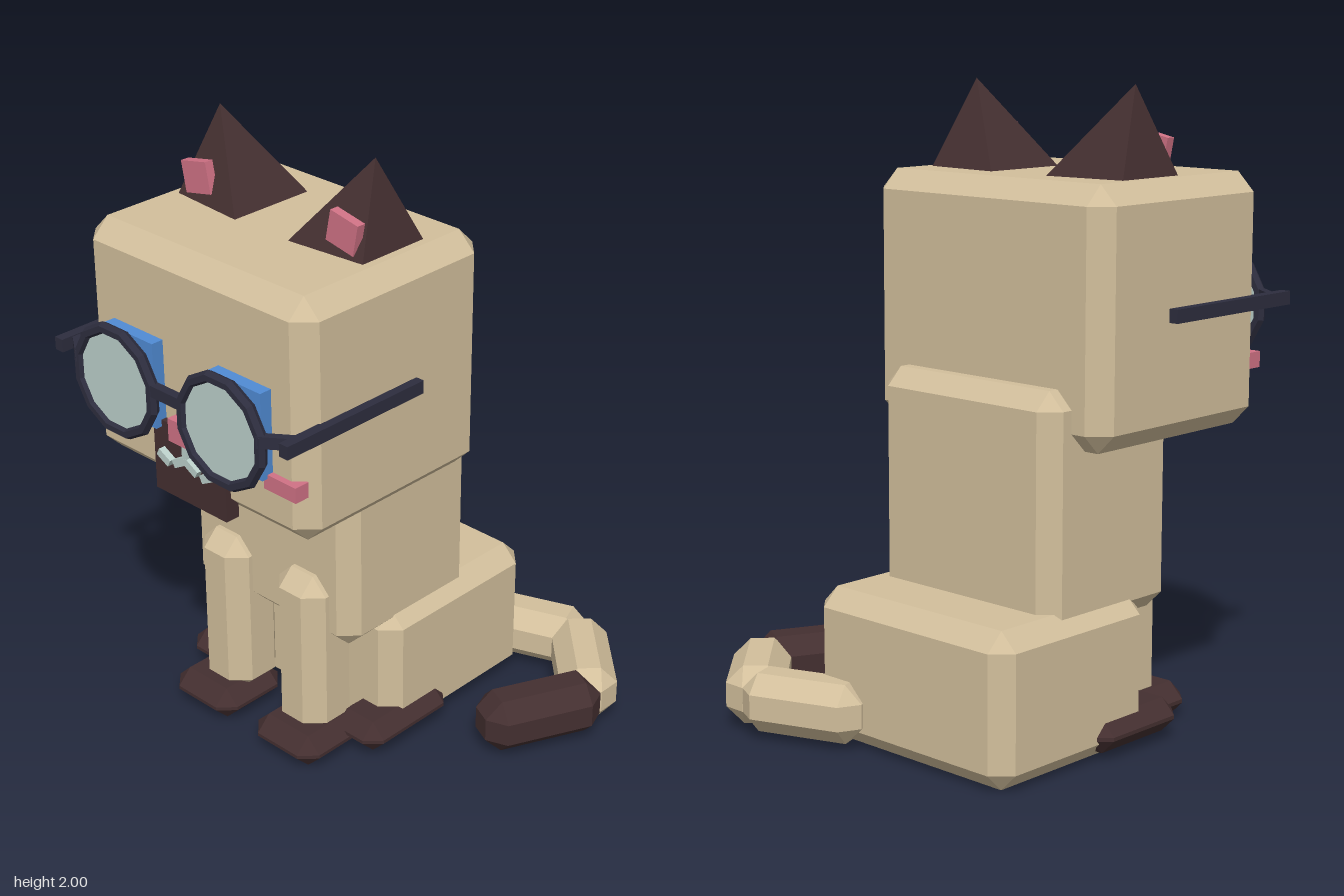
import * as THREE from 'three';
import { ConvexGeometry } from 'three/addons/geometries/ConvexGeometry.js';

const mat = (name, color) => {
  const m = new THREE.MeshStandardMaterial({ color });
  m.name = name;
  return m;
};

// Box with every edge and corner cut off, centred on the origin
function chamferBox(w, h, d, b) {
  const half = [w / 2, h / 2, d / 2];
  const points = [];
  for (const sx of [-1, 1]) for (const sy of [-1, 1]) for (const sz of [-1, 1])
    for (let full = 0; full < 3; full++) {
      const c = half.map((v, i) => (i === full ? v : v - b));
      points.push(new THREE.Vector3(sx * c[0], sy * c[1], sz * c[2]));
    }
  return new ConvexGeometry(points);
}

export function createModel() {
  const model = new THREE.Group();
  model.name = 'sittingCat';
  const cream = mat('cream fur', 0xd2bf9c);
  const brown = mat('dark brown fur', 0x442f30);
  const pink = mat('pink', 0xd07285);
  const blue = mat('eye blue', 0x508bd4);
  const pale = mat('pale green', 0xbbd0ca);
  const navy = mat('frame navy', 0x2d2d3e);
  const CX = -0.183; // mirror plane of the body

  const add = (name, geo, material, x = 0, y = 0, z = 0) => {
    const mesh = new THREE.Mesh(geo, material);
    mesh.name = name;
    mesh.position.set(x, y, z);
    model.add(mesh);
    return mesh;
  };
  const mid = (a, b) => (a + b) / 2;
  // Boxes given by their extents
  const soft = (name, material, x0, x1, y0, y1, z0, z1, b) =>
    add(name, chamferBox(x1 - x0, y1 - y0, z1 - z0, b), material, mid(x0, x1), mid(y0, y1), mid(z0, z1));
  const box = (name, material, x0, x1, y0, y1, z0, z1) =>
    add(name, new THREE.BoxGeometry(x1 - x0, y1 - y0, z1 - z0), material, mid(x0, x1), mid(y0, y1), mid(z0, z1));

  // Head, torso and rump
  soft('head', cream, -0.655, 0.29, 0.95, 1.73, -0.18, 0.58, 0.06);
  soft('torso', cream, -0.545, 0.177, 0.4, 1.135, -0.27, 0.297, 0.055);
  soft('rump', cream, -0.585, 0.217, 0, 0.478, -0.512, 0.15, 0.057);

  // Tail: three jointed pieces lying on the ground, [x, z, turn, length]
  const tail = [
    [0.193, -0.557, Math.atan2(0.35, 0.936), 0.41, cream, 'tailBase'],
    [0.485, -0.498, -Math.PI / 4, 0.4, cream, 'tailMiddle'],
    [0.534, -0.207, -Math.atan2(0.904, -0.427), 0.405, brown, 'tailTip'],
  ];
  for (const [x, z, turn, length, material, name] of tail)
    add(name, chamferBox(length, 0.187, 0.187, 0.055), material, x, 0.114, z).rotation.y = turn;

  for (const s of [-1, 1]) {
    const side = s > 0 ? 'left' : 'right';
    const X = (d) => CX + s * d; // distance out from the mirror plane
    const pair = (f, name, material, a, b, ...rest) =>
      f(side + name, material, Math.min(X(a), X(b)), Math.max(X(a), X(b)), ...rest);

    // Legs and paws
    pair(soft, 'FrontLeg', cream, 0.07, 0.274, 0.06, 0.642, 0.155, 0.367, 0.055);
    pair(soft, 'FrontPaw', brown, 0.05, 0.327, 0, 0.112, 0.17, 0.452, 0.05);
    pair(soft, 'HindPaw', brown, 0.23, 0.438, 0.02, 0.128, -0.11, 0.27, 0.048);

    // Ear: leaning four-sided pyramid
    add(side + 'Ear', new ConvexGeometry([
      new THREE.Vector3(X(0.108), 1.725, -0.02), new THREE.Vector3(X(0.388), 1.725, 0.005),
      new THREE.Vector3(X(0.388), 1.725, 0.262), new THREE.Vector3(X(0.108), 1.725, 0.288),
      new THREE.Vector3(X(0.321), 2, 0.138),
    ]), brown);
    add(side + 'InnerEar', new THREE.BoxGeometry(0.11, 0.1, 0.03), pink, X(0.305), 1.803, 0.246)
      .rotation.z = -s * 0.2;

    // Eye, pupil and highlight
    const ex = X(0.228);
    box(side + 'Eye', blue, ex - 0.108, ex + 0.108, 1.157, 1.438, 0.57, 0.622);
    box(side + 'Pupil', navy, ex - 0.06, ex + 0.065, 1.19, 1.39, 0.62, 0.631);
    box(side + 'EyeHighlight', pale, ex - 0.08, ex - 0.018, 1.34, 1.41, 0.62, 0.646);
    pair(box, 'Cheek', pink, 0.321, 0.45, 1.12, 1.17, 0.55, 0.602);

    // Spectacles: rim, lens, hinge and temple
    const rim = new THREE.TorusGeometry(0.167, 0.019, 6, 12).rotateZ(Math.PI / 12).toNonIndexed();
    rim.computeVertexNormals();
    add(side + 'Rim', rim, navy, ex, 1.3, 0.675);
    add(side + 'Lens', new THREE.CylinderGeometry(0.166, 0.166, 0.008, 12)
      .rotateX(Math.PI / 2).rotateZ(Math.PI / 12).toNonIndexed(), pale, ex, 1.3, 0.675);
    add(side + 'Hinge', new THREE.BoxGeometry(0.12, 0.038, 0.025), navy, X(0.432), 1.333, 0.65)
      .rotation.y = s * 0.62;
    pair(box, 'Temple', navy, 0.468, 0.502, 1.313, 1.355, 0.125, 0.68);

    // Smile: two short strokes per side
    for (const [x0, y0, x1, y1] of [[0, 1.092, 0.05, 1.064], [0.07, 1.057, 0.118, 1.082]]) {
      const stroke = new THREE.BoxGeometry(Math.hypot(x1 - x0, y1 - y0), 0.026, 0.025);
      add(side + 'SmileStroke', stroke, pale, X(mid(x0, x1)), mid(y0, y1), 0.61)
        .rotation.z = s * Math.atan2(y1 - y0, x1 - x0);
    }
  }

  // Muzzle, nose, mouth line and spectacle bridge
  box('muzzle', brown, -0.34, -0.03, 0.935, 1.18, 0.55, 0.6);
  box('nose', pink, -0.24, -0.13, 1.145, 1.22, 0.57, 0.63);
  box('mouthLine', pale, CX - 0.01, CX + 0.01, 1.08, 1.148, 0.595, 0.622);
  box('bridge', navy, CX - 0.06, CX + 0.06, 1.313, 1.35, 0.66, 0.69);

  return model;
}
